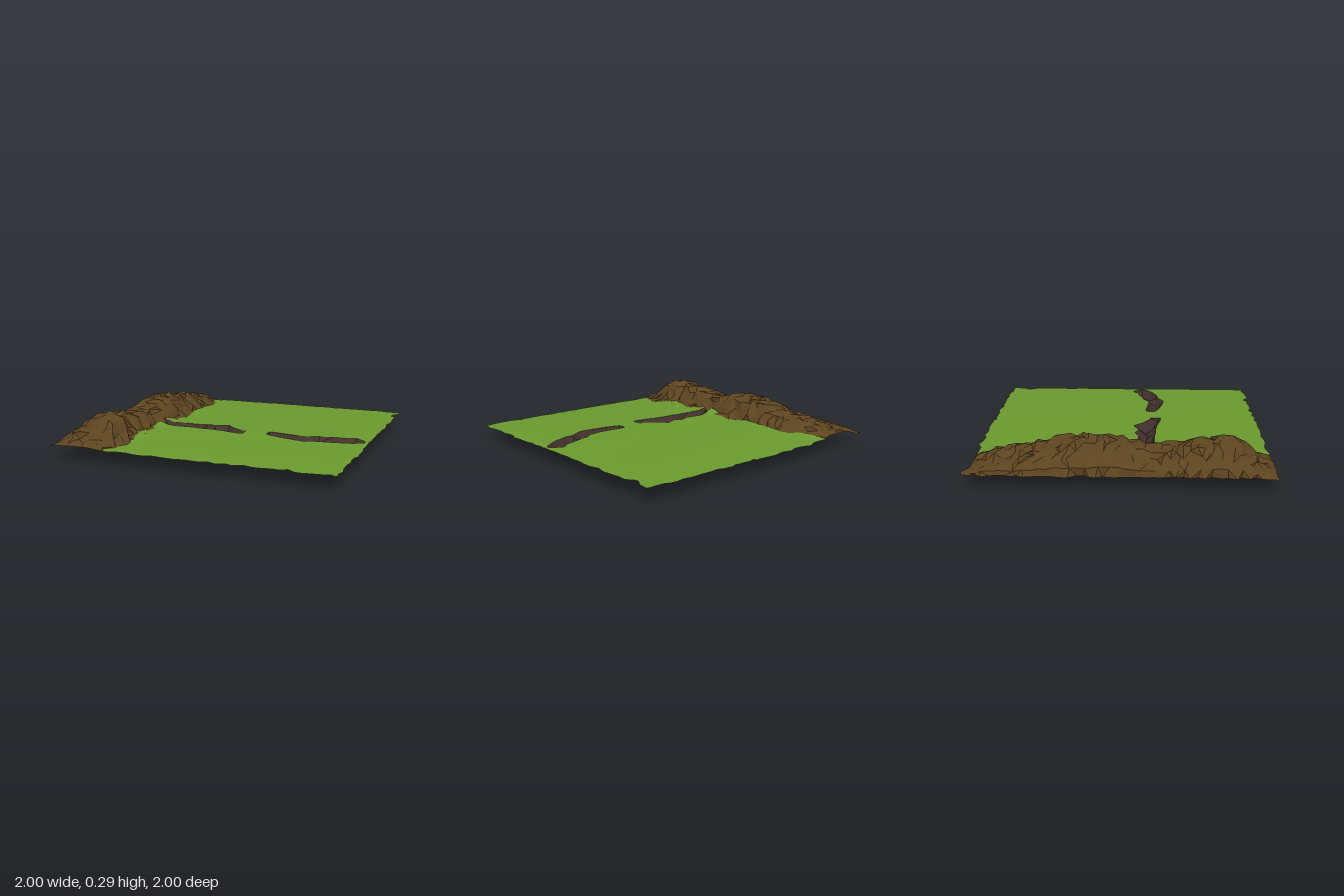
import * as THREE from 'three';

// Repeatable noise in -1..1
function noise(i, j) {
  const s = Math.sin(i * 127.1 + j * 311.7 + 4.2) * 43758.5453;
  return (s - Math.floor(s)) * 2 - 1;
}

// Piecewise-linear lookup in a table of rows sorted by their first entry
function lookup(table, x, col = 1) {
  if (x <= table[0][0]) return table[0][col];
  for (let k = 1; k < table.length; k++) {
    const a = table[k - 1], b = table[k];
    if (x <= b[0]) return THREE.MathUtils.lerp(a[col], b[col], (x - a[0]) / (b[0] - a[0]));
  }
  return table[table.length - 1][col];
}

// Open sheet: i runs along x, j along z, point(i, j) gives [x, y, z]
function sheet(name, ni, nj, point, color, flatShading) {
  const pos = [], index = [];
  for (let i = 0; i <= ni; i++) for (let j = 0; j <= nj; j++) pos.push(...point(i, j));
  for (let i = 0; i < ni; i++) {
    for (let j = 0; j < nj; j++) {
      const a = i * (nj + 1) + j, c = a + nj + 1;
      if ((i + j) % 2) index.push(a, a + 1, c, a + 1, c + 1, c);
      else index.push(a, a + 1, c + 1, a, c + 1, c);
    }
  }
  const geo = new THREE.BufferGeometry();
  geo.setAttribute('position', new THREE.Float32BufferAttribute(pos, 3));
  geo.setIndex(index);
  geo.computeVertexNormals();
  const mesh = new THREE.Mesh(geo, new THREE.MeshStandardMaterial({
    color, flatShading, side: THREE.DoubleSide }));
  mesh.name = name;
  return mesh;
}

// Trench stations: x, back rim z, front rim z, floor y
const trenches = [
  [[-0.56, 0.13, 0.2, 0.1], [-0.5, 0.12, 0.21, 0.095], [-0.4, 0.1, 0.22, 0.088],
    [-0.28, 0.11, 0.22, 0.045], [-0.22, 0.08, 0.23, 0.065], [-0.15, 0.11, 0.23, 0.05],
    [-0.06, 0.07, 0.24, 0.052], [0, 0.14, 0.255, 0.06], [0.08, 0.19, 0.27, 0.085],
    [0.115, 0.19, 0.27, 0.1], [0.12, 0.22, 0.22, 0.115]],
  [[0.275, 0.2, 0.2, 0.11], [0.285, 0.16, 0.23, 0.085], [0.33, 0.16, 0.25, 0.06],
    [0.4, 0.17, 0.27, 0], [0.5, 0.18, 0.29, 0.025], [0.58, 0.17, 0.3, 0.07],
    [0.64, 0.13, 0.27, 0.045], [0.68, 0.13, 0.26, 0.085], [0.73, 0.11, 0.25, 0.003],
    [0.83, 0.09, 0.22, 0.022], [0.88, 0.05, 0.2, 0.03], [0.95, 0.1, 0.15, 0.075],
    [0.96, 0.13, 0.13, 0.09]],
];
const rims = trenches.flat();

// Line where the ridge meets the grass, and the ridge crest height along z
const toe = [[-1, -0.62], [-0.9, -0.57], [-0.7, -0.5], [-0.4, -0.48], [0, -0.52],
  [0.4, -0.55], [0.7, -0.52], [0.85, -0.52], [1, -0.59]];
const crest = [[-1, 0.1], [-0.92, 0.13], [-0.85, 0.165], [-0.6, 0.2], [-0.3, 0.26], [-0.1, 0.28],
  [0.05, 0.25], [0.2, 0.21], [0.4, 0.235], [0.65, 0.275], [0.75, 0.26], [0.9, 0.15], [1, 0.1]];
const slope = [[0, 0], [0.03, 0.32], [0.15, 0.52], [0.25, 0.7], [0.35, 0.88], [0.45, 0.95],
  [0.57, 1], [0.68, 0.95], [0.77, 0.8], [0.86, 0.45], [0.93, 0.22], [1, 0]];

function ground(x, z) {
  const dome = (1 - z ** 4) * (1 - Math.max(0, x) ** 3);
  const bank = 0.018 * Math.exp(-(((x + 0.58) / 0.06) ** 2)) * (1 + Math.sin(z * 13));
  return 0.094 + dome * (0.023 + bank + 0.004 * Math.sin(z * 8 + x * 2));
}

export function createModel() {
  const model = new THREE.Group();
  model.name = 'terrain';
  const green = 0x6b9a2f, brown = 0x5d4420, dark = 0x43302d;

  // Grass: two sheets that meet along a line and part around the trenches
  const columns = [...rims.map(r => r[0]), -0.45, -0.34, 0.17, 0.22, 0.45, 0.78, 0.99].sort((a, b) => a - b);
  const last = columns.length - 1, rows = 16;
  for (const side of [-1, 1]) {
    const grassPoint = (i, j) => {
      const c = columns[i];
      const rim = lookup(rims, c, side < 0 ? 1 : 2);
      const t = side < 0 ? 1 - j / rows : j / rows;
      let border = 0.985 + 0.012 * noise(i, side);
      if (side < 0 && c < -0.42) border = 0.965;
      if (side > 0 && i % 5 === 3 && c > 0.2) border -= 0.02;
      const z = THREE.MathUtils.lerp(rim, side * border, t);
      // the first columns follow the ridge, the last one is ragged
      let x = c + (lookup(toe, z) + 0.53) * Math.max(0, 1 - (c + 0.56) / 0.22) * Math.min(1, t * 4);
      if (i === last) x += 0.011 * noise(j, 7 + side) - (side < 0 && j === 2 ? 0.04 : 0);
      return [x, ground(x, z), z];
    };
    model.add(sheet(side < 0 ? 'backGrass' : 'frontGrass', last, rows, grassPoint, green, false));
  }

  // Trenches: V-shaped cuts with rough walls
  trenches.forEach((stations, n) => {
    const trenchPoint = (i, j) => {
      const [x, back, front, floor] = stations[i];
      const z = THREE.MathUtils.lerp(back, front, [0, 0.3, 0.55, 0.8, 1][j]);
      const depth = [0, 0.55, 1, 0.5, 0][j];
      const rough = j % 2 ? 0.006 * noise(i, j + n) : 0;
      return [x, THREE.MathUtils.lerp(ground(x, z), floor, depth) + rough, z];
    };
    model.add(sheet(n ? 'rightTrench' : 'leftTrench', stations.length - 1, 4, trenchPoint, dark, true));
  });

  // Ridge: rough earth bank along one side, hollow underneath
  const across = slope.length - 1, along = 44;
  const ridgePoint = (i, j) => {
    const [u, h] = slope[i];
    const end = j === 0 || j === along;
    let z = THREE.MathUtils.lerp(i < 3 ? -1 : -0.955, 0.985, j / along);
    const inner = lookup(toe, z) + 0.015;
    let x = THREE.MathUtils.lerp(-0.98, inner, u);
    const base = i === across ? ground(x, z) - 0.004 : 0.094;
    let y = base + h * (lookup(crest, z) - 0.094);
    if (i === 0) x += 0.02 * noise(j, 3);
    else if (i === across) x += 0.022 * noise(j, 5);
    else {
      x += (i === 1 ? 0.008 : 0.018) * noise(i, j);
      if (!end) y += 0.016 * h * noise(j + 40, i);
    }
    if (!end) z += 0.016 * noise(i + 20, j + 9);
    else if (j === along) z += 0.006 * noise(i, 2);
    return [x, Math.max(y, 0.09), z];
  };
  model.add(sheet('earthRidge', across, along, ridgePoint, brown, true));

  return model;
}
